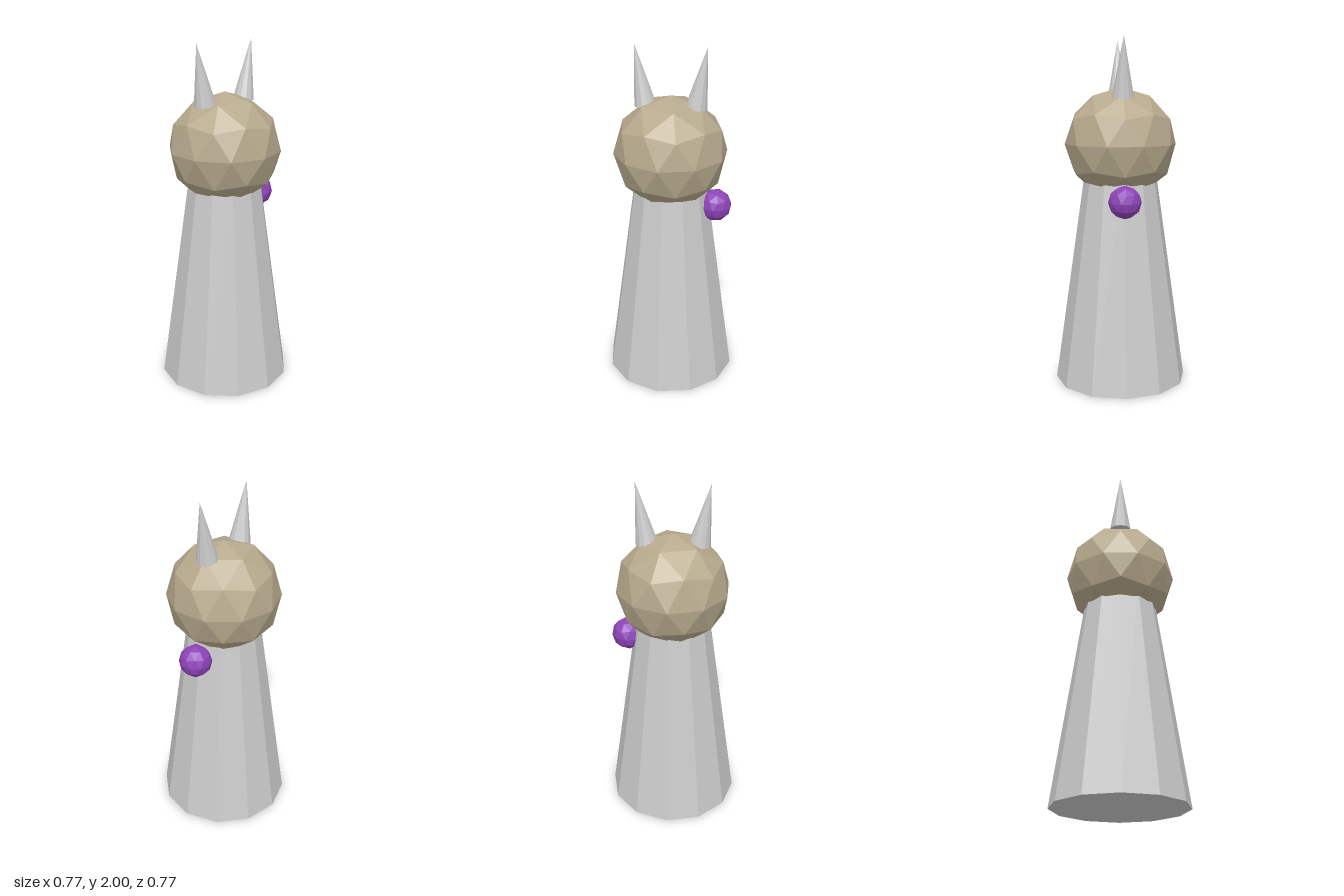
import * as THREE from 'three';

const flat = (color) => new THREE.MeshStandardMaterial({ color, flatShading: true });

function addMesh(group, name, geometry, material) {
  const mesh = new THREE.Mesh(geometry, material);
  mesh.name = name;
  group.add(mesh);
  return mesh;
}

// Faceted ball turned so that one five-sided corner points straight up
function facetedBall(radius) {
  return new THREE.IcosahedronGeometry(radius, 1).rotateZ(-Math.atan(2 / (1 + Math.sqrt(5))));
}

export function createModel() {
  const group = new THREE.Group();
  group.name = 'hornedFigure';
  const grey = flat(0xcccccc);

  // Tapered body, its top sunk into the head
  const height = 1.25;
  addMesh(group, 'body', new THREE.CylinderGeometry(0.207, 0.386, height, 12), grey)
    .position.y = height / 2;

  // Head
  addMesh(group, 'head', facetedBall(0.324), flat(0xb7aa8d)).position.y = 1.4;

  // Horns, leaning outwards
  const up = new THREE.Vector3(0, 1, 0);
  for (const side of [1, -1]) {
    const base = new THREE.Vector3(side * 0.145, 1.666, 0);
    const tip = new THREE.Vector3(side * 0.201, 2, 0);
    const axis = tip.clone().sub(base);
    const horn = addMesh(group, side > 0 ? 'leftHorn' : 'rightHorn',
      new THREE.ConeGeometry(0.062, axis.length(), 12), grey);
    horn.position.copy(base).add(tip).multiplyScalar(0.5);
    horn.quaternion.setFromUnitVectors(up, axis.normalize());
  }

  // Orb at the left shoulder
  addMesh(group, 'orb', facetedBall(0.0935), flat(0x8e44b8)).position.set(0.264, 1.093, 0);

  return group;
}
